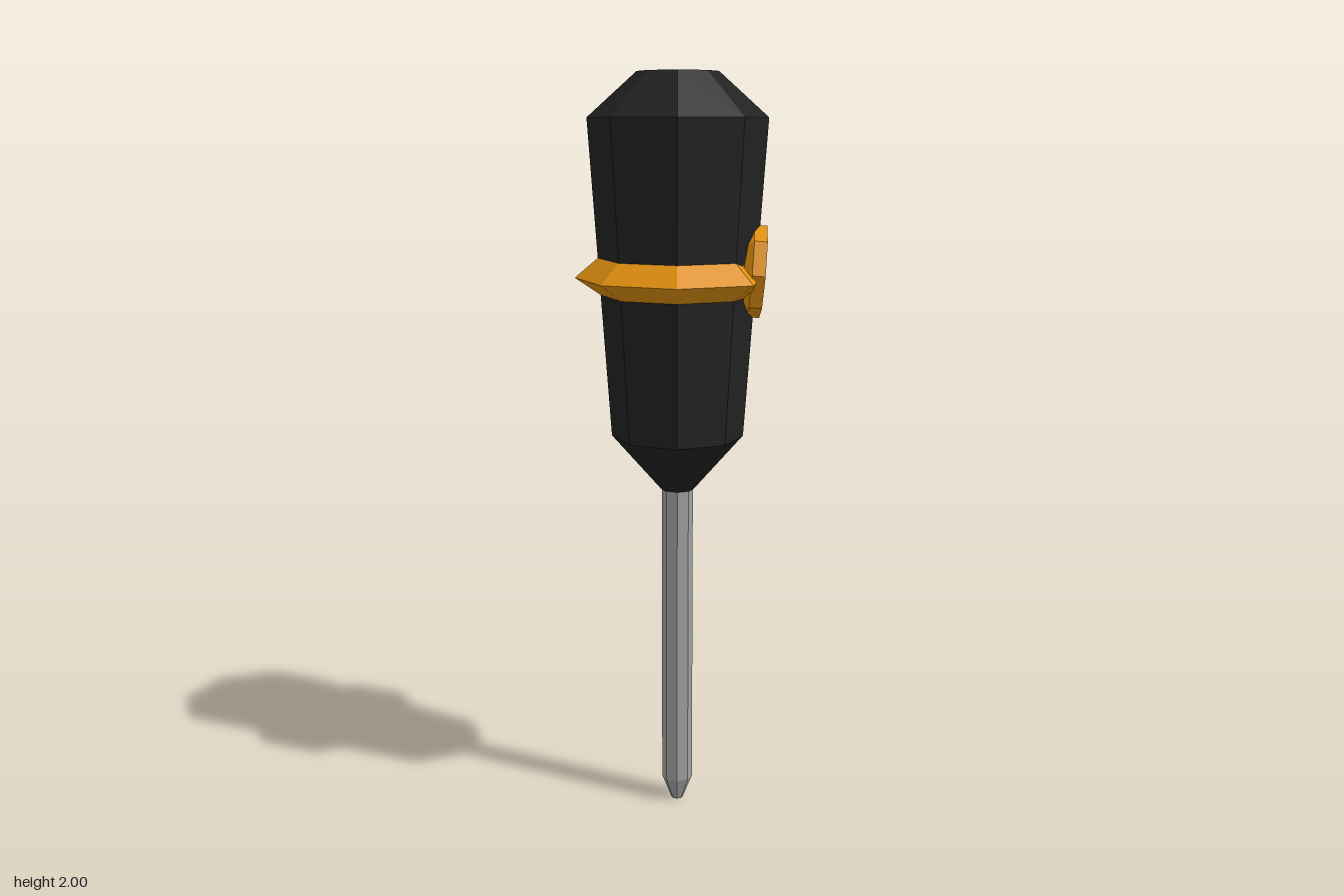
import * as THREE from 'three';

const SIDES = 8;
const AXIS_X = 0.017; // the knob shifts the main axis off centre

// Faceted turned part from [radius, y] pairs, listed bottom to top
function turned(name, profile, color) {
  const points = profile.map(([r, y]) => new THREE.Vector2(r, y));
  const material = new THREE.MeshStandardMaterial({ color, flatShading: true });
  const mesh = new THREE.Mesh(new THREE.LatheGeometry(points, SIDES), material);
  mesh.name = name;
  return mesh;
}

export function createModel() {
  const model = new THREE.Group();
  model.name = 'screwdriver';
  const black = 0x222222, orange = 0xe0900f, steel = 0xa0a0a0;

  // Tapered handle with chamfered ends
  const handle = turned('handle', [
    [0, 0.905], [0.045, 0.905], [0.176, 1.052], [0.234, 1.885], [0.105, 2], [0, 2],
  ], black);

  // Steel shaft with a blunt tapered tip
  const shaft = turned('shaft', [
    [0, 0], [0.016, 0], [0.042, 0.065], [0.042, 0.92], [0, 0.92],
  ], steel);

  // Ridged collar, flattened where the knob sits
  const collar = turned('collar', [
    [0.195, 1.425], [0.27, 1.475], [0.205, 1.53],
  ], orange);
  const pos = collar.geometry.attributes.position;
  for (let i = 0; i < pos.count; i++) {
    if (pos.getX(i) > 0.25) pos.setX(i, 0.218);
  }
  collar.geometry.computeVertexNormals();

  for (const part of [handle, shaft, collar]) {
    part.position.x = AXIS_X;
    model.add(part);
  }

  // Side knob, chamfered behind and leaning with the handle's taper
  const knob = turned('knob', [
    [0, -0.065], [0.088, -0.065], [0.121, -0.034], [0.121, 0], [0, 0],
  ], orange);
  knob.rotation.z = -Math.PI / 2 - 0.075;
  knob.position.set(0.241, 1.49, 0);
  model.add(knob);

  return model;
}
